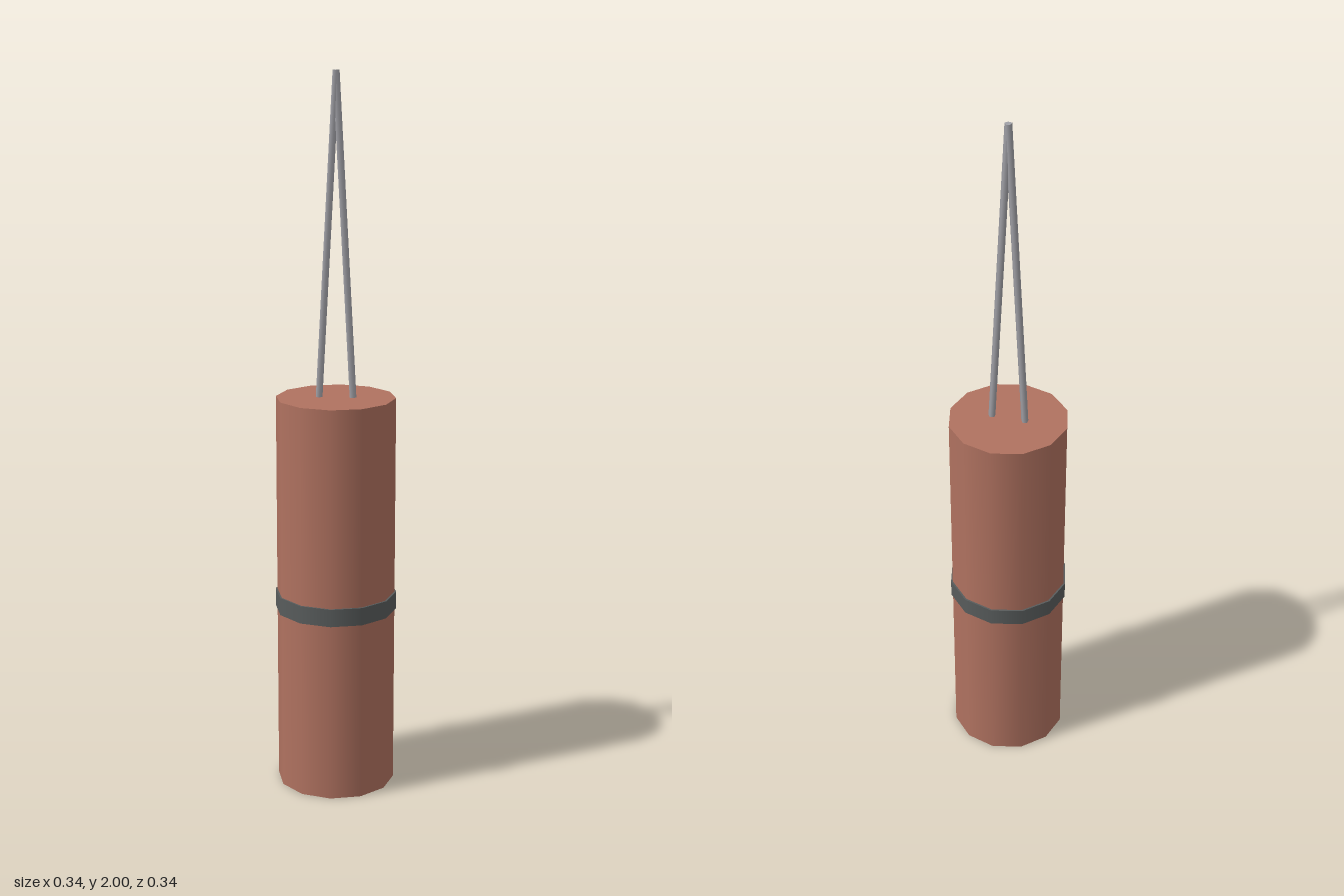
import * as THREE from 'three';

export function createModel() {
  const group = new THREE.Group();
  const mat = (name, color) => {
    const m = new THREE.MeshStandardMaterial({ color });
    m.name = name;
    return m;
  };
  const clay = mat('clay red', 0xb07260);
  const dark = mat('dark grey', 0x585c5c);
  const steel = mat('steel grey', 0xa2a2a8);

  const add = (name, geometry, material, x, y) => {
    const mesh = new THREE.Mesh(geometry, material);
    mesh.name = name;
    mesh.position.set(x, y, 0);
    group.add(mesh);
    return mesh;
  };

  // Twelve-sided handle and the band around its middle
  add('handle', new THREE.CylinderGeometry(0.166, 0.166, 1.12, 12), clay, 0, 0.56);
  add('band', new THREE.CylinderGeometry(0.171, 0.171, 0.05, 12), dark, 0, 0.537);

  // Two thin five-sided prongs leaning together at the tip
  const base = 1.115, tip = 2, spread = 0.047;
  const length = Math.hypot(tip - base, spread);
  for (const side of [1, -1]) {
    const geometry = new THREE.CylinderGeometry(0.01, 0.01, length, 5, 1, false, Math.PI / 2);
    const prong = add(side > 0 ? 'leftProng' : 'rightProng', geometry, steel,
      side * spread / 2, (base + tip) / 2);
    prong.rotation.z = side * Math.atan2(spread, tip - base);
  }
  return group;
}
